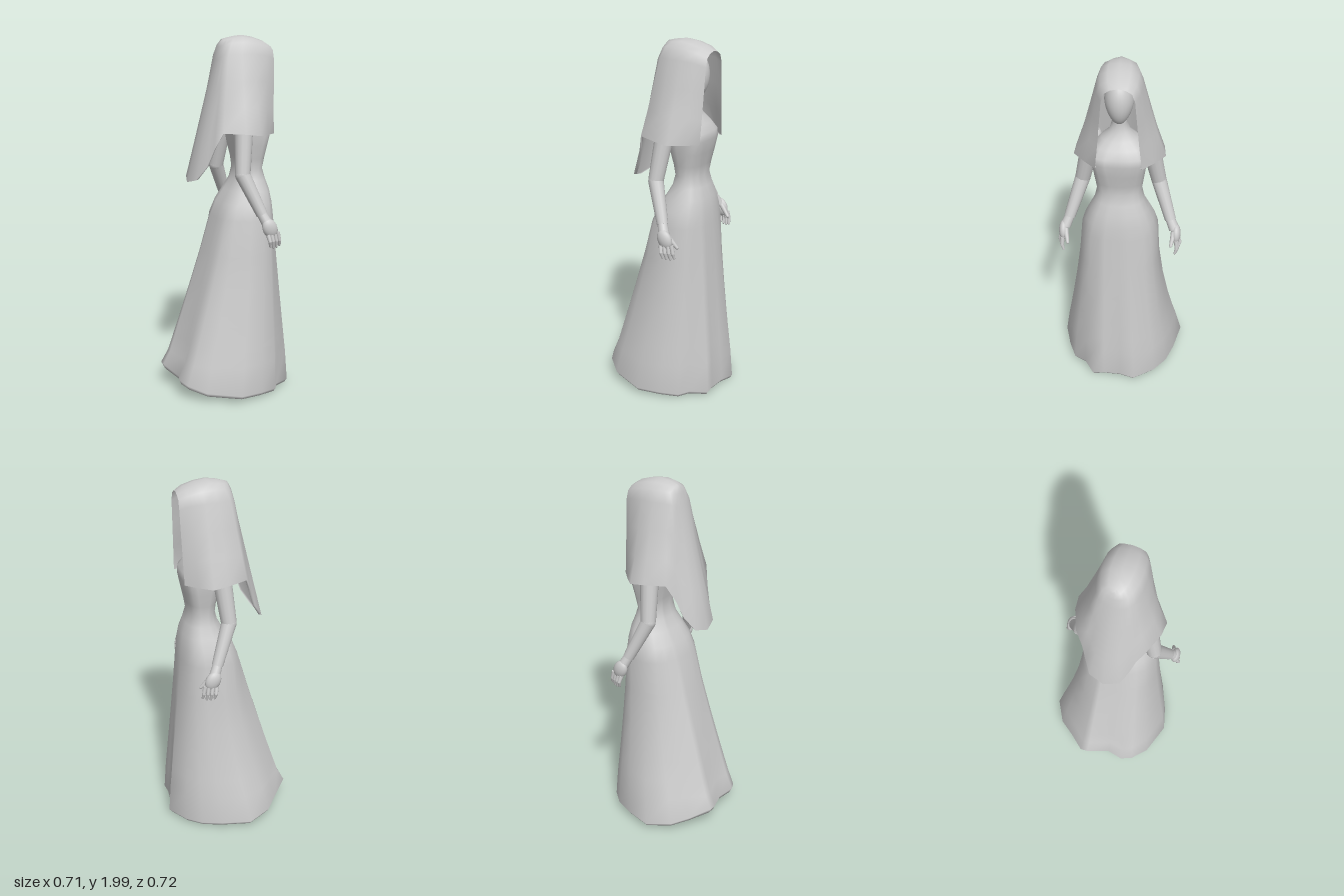
import * as THREE from 'three';
import { mergeVertices } from 'three/addons/utils/BufferGeometryUtils.js';

const grey = new THREE.MeshStandardMaterial({ color: 0xcccccc, side: THREE.DoubleSide });
grey.name = 'plainGrey';

const lerp = THREE.MathUtils.lerp;
const AXIS = 0.013; // z of the body's middle; the hem spreads unevenly around it

function addMesh(parent, name, geometry) {
  const mesh = new THREE.Mesh(geometry, grey);
  mesh.name = name;
  parent.add(mesh);
  return mesh;
}

// Skin a smooth surface over rows of [x, y, z] points, listed from bottom to top
function skin(rows, closed) {
  const n = rows[0].length;
  const index = [];
  for (let i = 0; i < rows.length - 1; i++) {
    for (let j = 0; j < (closed ? n : n - 1); j++) {
      const k = (j + 1) % n;
      const a = i * n + j, b = i * n + k, c = a + n, d = b + n;
      index.push(a, b, d, a, d, c);
    }
  }
  let geometry = new THREE.BufferGeometry();
  geometry.setAttribute('position', new THREE.Float32BufferAttribute(rows.flat(2), 3));
  geometry.setIndex(index);
  geometry = mergeVertices(geometry, 1e-4);
  geometry.computeVertexNormals();
  return geometry;
}

// Tapered round segment between two points
function segment(parent, name, from, to, r0, r1) {
  const a = new THREE.Vector3(...from), b = new THREE.Vector3(...to);
  const dir = b.clone().sub(a);
  const mesh = addMesh(parent, name, new THREE.CylinderGeometry(r1, r0, dir.length(), 14, 1));
  mesh.position.copy(a).add(b).multiplyScalar(0.5);
  mesh.quaternion.setFromUnitVectors(new THREE.Vector3(0, 1, 0), dir.normalize());
  return mesh;
}

function ball(parent, name, at, radius, scale = [1, 1, 1]) {
  const mesh = addMesh(parent, name, new THREE.SphereGeometry(radius, 16, 12));
  mesh.position.set(...at);
  mesh.scale.set(...scale);
  return mesh;
}

// Gown: a skirt spreading from the hip ring to an uneven hem (x, z), and a fitted bodice
function gown() {
  const hem = [
    [0.352, -0.08], [0.28, -0.2], [0.2, -0.27], [0.09, -0.315], [-0.07, -0.358], [-0.2, -0.29],
    [-0.27, -0.2], [-0.355, -0.11], [-0.355, -0.065], [-0.305, 0.065], [-0.33, 0.155],
    [-0.3, 0.22], [-0.215, 0.295], [-0.03, 0.358], [0.1, 0.325], [0.2, 0.285],
    [0.235, 0.22], [0.325, 0.165], [0.318, 0.1], [0.325, 0.0],
  ];
  // y, back x, front x, half width, roundness (lower is boxier)
  const hip = [1.0, -0.077, 0.26, 0.214, 0.85];
  const bodice = [
    hip, [1.08, -0.045, 0.253, 0.192, 0.85], [1.15, 0.0, 0.24, 0.163, 0.85],
    [1.21, 0.035, 0.22, 0.136, 0.9], [1.27, 0.05, 0.202, 0.122, 0.9],
    [1.33, 0.045, 0.21, 0.13, 0.8], [1.4, 0.03, 0.224, 0.14, 0.7],
    [1.47, 0.02, 0.236, 0.148, 0.6], [1.51, 0.015, 0.232, 0.146, 0.6],
    [1.55, 0.015, 0.205, 0.135, 0.75], [1.59, 0.03, 0.18, 0.098, 0.9],
    [1.63, 0.055, 0.155, 0.055, 1], [1.68, 0.065, 0.15, 0.04, 1], [1.76, 0.07, 0.15, 0.036, 1],
  ];
  const bend = (v, p) => Math.sign(v) * Math.pow(Math.abs(v), p);
  const ring = ([y, back, front, half, p]) => hem.map(([hx, hz]) => {
    const a = Math.atan2(hz, hx);
    return [
      (front + back) / 2 + bend(Math.cos(a), p) * (front - back) / 2,
      y,
      AXIS + bend(Math.sin(a), p) * half,
    ];
  });
  // The hem dips toward the front and turns up sharply at the back
  const hemY = (x) => {
    const s = Math.max(0, (0.36 - x) / 0.72);
    return 0.005 + 0.035 * s + 0.07 * Math.pow(s, 8);
  };
  const rows = [
    hem.map(() => [0, 0.06, 0]), // underside
    hem.map(([x, z], j) => [x * 0.85, hemY(x) + 0.02 + 0.012 * (j % 2), z * 0.85]),
    hem.map(([x, z]) => [x * 0.96, hemY(x * 0.96), z * 0.96]),
    hem.map(([x, z]) => [x, hemY(x) + 0.02, z]),
  ];
  // Skirt sides flare late, most of all on the -z side
  const hipRow = ring(hip);
  for (const y of [0.2, 0.3, 0.42, 0.6, 0.8]) {
    rows.push(hem.map(([hx, hz], j) => {
      const sine = hz / Math.hypot(hx, hz);
      const share = Math.pow((1 - y) / 0.92, 1.02 + sine * sine * (sine > 0 ? 0.3 : 0.8));
      return [lerp(hipRow[j][0], hx, share), y, lerp(hipRow[j][2], hz, share)];
    }));
  }
  rows.push(...bodice.map(ring));
  return skin(rows, true);
}

// Veil: half rows from the front edge to the middle of the back, mirrored
function veil() {
  const ridge = [
    [0.25, 1.945, 0], [0.21, 1.97, 0], [0.15, 1.99, 0], [0.09, 2, 0], [0.04, 1.994, 0],
    [0.01, 1.988, 0], [-0.01, 1.983, 0], [-0.022, 1.98, 0], [-0.027, 1.978, 0],
  ];
  const brow = [
    [0.25, 1.87, 0.085], [0.2, 1.89, 0.11], [0.12, 1.9, 0.12], [0.05, 1.9, 0.117],
    [-0.02, 1.9, 0.098], [-0.045, 1.89, 0.078], [-0.055, 1.88, 0.055], [-0.06, 1.87, 0.03],
    [-0.062, 1.87, 0],
  ];
  const bottom = [
    [0.238, 1.467, 0.122], [0.178, 1.468, 0.182], [0.11, 1.472, 0.243], [0.03, 1.482, 0.235],
    [-0.085, 1.487, 0.19], [-0.122, 1.395, 0.148], [-0.155, 1.3, 0.122], [-0.205, 1.225, 0.085],
    [-0.228, 1.203, 0],
  ];
  const mix = (a, b, tx, ty, tz) => a.map((p, j) =>
    [lerp(p[0], b[j][0], tx), lerp(p[1], b[j][1], ty), lerp(p[2], b[j][2], tz)]);
  const fold = bottom.map(([x, y, z]) => [lerp(x, 0.05, 0.06), y + 0.003, z * 0.94]);
  const rows = [
    fold, bottom, mix(brow, bottom, 0.67, 0.67, 0.62), mix(brow, bottom, 0.33, 0.33, 0.3), brow,
    mix(ridge, brow, 0.6, 0.38, 0.82), mix(ridge, brow, 0.25, 0.12, 0.48), ridge,
  ];
  return skin(rows.map((row) => [
    ...row.map(([x, y, z]) => [x, y, -z]),
    ...row.slice(0, -1).reverse(),
  ]), false);
}

// Arm with an open hand; side is +1 or -1 along z
function arm(side) {
  const group = new THREE.Group();
  const at = (x, y, z) => [x, y, z * side];
  const shoulder = at(0.05, 1.55, 0.148), elbow = at(0.02, 1.26, 0.208), wrist = at(0.105, 1.05, 0.279);
  ball(group, 'shoulder', shoulder, 0.054);
  segment(group, 'upperArm', shoulder, elbow, 0.053, 0.042);
  ball(group, 'elbow', elbow, 0.042);
  segment(group, 'forearm', elbow, wrist, 0.042, 0.031);
  segment(group, 'wrist', wrist, at(0.128, 1.0, 0.302), 0.027, 0.03);
  const palm = ball(group, 'palm', at(0.138, 0.978, 0.312), 0.043, [0.98, 1.3, 0.62]);
  palm.rotation.z = 0.45;
  // Fingers fan out along x, curling slightly at the tips
  for (let i = 0; i < 4; i++) {
    const knuckle = at(0.122 + i * 0.02, 0.945 + i * 0.003, 0.324 - i * 0.003);
    const joint = at(0.129 + i * 0.021, 0.91, 0.336 - i * 0.006);
    const tip = at(0.134 + i * 0.0205, 0.882 - (i % 3 ? 0.007 : 0), 0.328 - i * 0.006);
    segment(group, 'finger', knuckle, joint, 0.012, 0.01);
    ball(group, 'fingerJoint', joint, 0.01);
    segment(group, 'fingerEnd', joint, tip, 0.01, 0.007);
    ball(group, 'fingertip', tip, 0.007);
  }
  const thumbTip = at(0.199, 0.935, 0.286);
  segment(group, 'thumb', at(0.15, 0.995, 0.3), thumbTip, 0.016, 0.009);
  ball(group, 'thumbTip', thumbTip, 0.009);
  return group;
}

// Blank head, full at the cheeks and narrowing to the chin
function head() {
  const geometry = new THREE.SphereGeometry(1, 24, 18);
  const p = geometry.attributes.position;
  for (let i = 0; i < p.count; i++) {
    const y = p.getY(i);
    const taper = y < 0 ? 1 + 0.2 * y : 1;
    const chin = y < 0 ? -y * 0.025 : 0;
    p.setXYZ(i, p.getX(i) * 0.097 * taper + chin, y * 0.127, p.getZ(i) * 0.077 * taper);
  }
  geometry.computeVertexNormals();
  return geometry;
}

export function createModel() {
  const model = new THREE.Group();
  model.name = 'veiledWoman';
  addMesh(model, 'gown', gown());
  addMesh(model, 'veil', veil()).position.z = AXIS;
  addMesh(model, 'head', head()).position.set(0.122, 1.818, AXIS);
  for (const side of [1, -1]) {
    const limb = arm(side);
    limb.name = side > 0 ? 'armPlusZ' : 'armMinusZ';
    limb.position.z = AXIS;
    model.add(limb);
  }
  return model;
}
